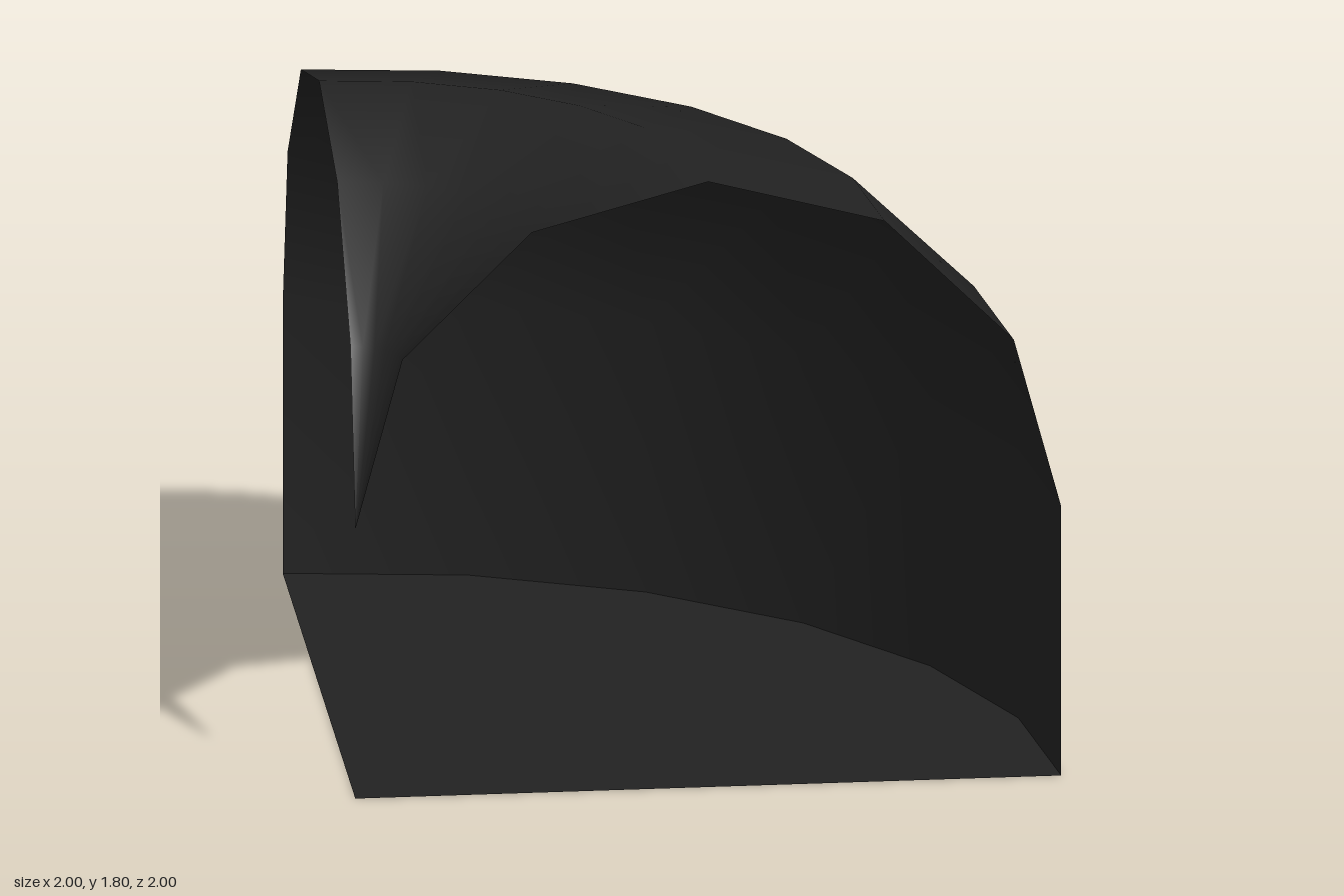
import * as THREE from 'three';

const RADIUS = 2;      // plan radius of the quarter round
const SPRING = 0.8;    // height where the arch starts
const SEGMENTS = 6;    // facets around the corner and over the arch

export function createModel() {
  const model = new THREE.Group();
  model.name = 'quarterVault';

  const charcoal = new THREE.MeshStandardMaterial({ color: 0x222222, side: THREE.DoubleSide });
  charcoal.name = 'charcoal';

  // Curved outer wall running up into a half-round vault that falls back to the axis
  const profile = [new THREE.Vector2(RADIUS, 0)];
  for (let i = 0; i <= SEGMENTS; i++) {
    const a = (i / SEGMENTS) * Math.PI;
    profile.push(new THREE.Vector2(Math.max(0, 1 + Math.cos(a)), SPRING + Math.sin(a)));
  }
  const vault = new THREE.Mesh(
    new THREE.LatheGeometry(profile, SEGMENTS, Math.PI / 2, Math.PI / 2),
    charcoal
  );
  vault.name = 'wallAndVault';
  vault.position.set(-1, 0, 1);
  model.add(vault);

  // Flat quarter-round floor
  const floor = new THREE.Mesh(
    new THREE.CircleGeometry(RADIUS, SEGMENTS, 0, Math.PI / 2).rotateX(-Math.PI / 2),
    charcoal
  );
  floor.name = 'floor';
  floor.position.set(-1, 0, 1);
  model.add(floor);

  return model;
}
